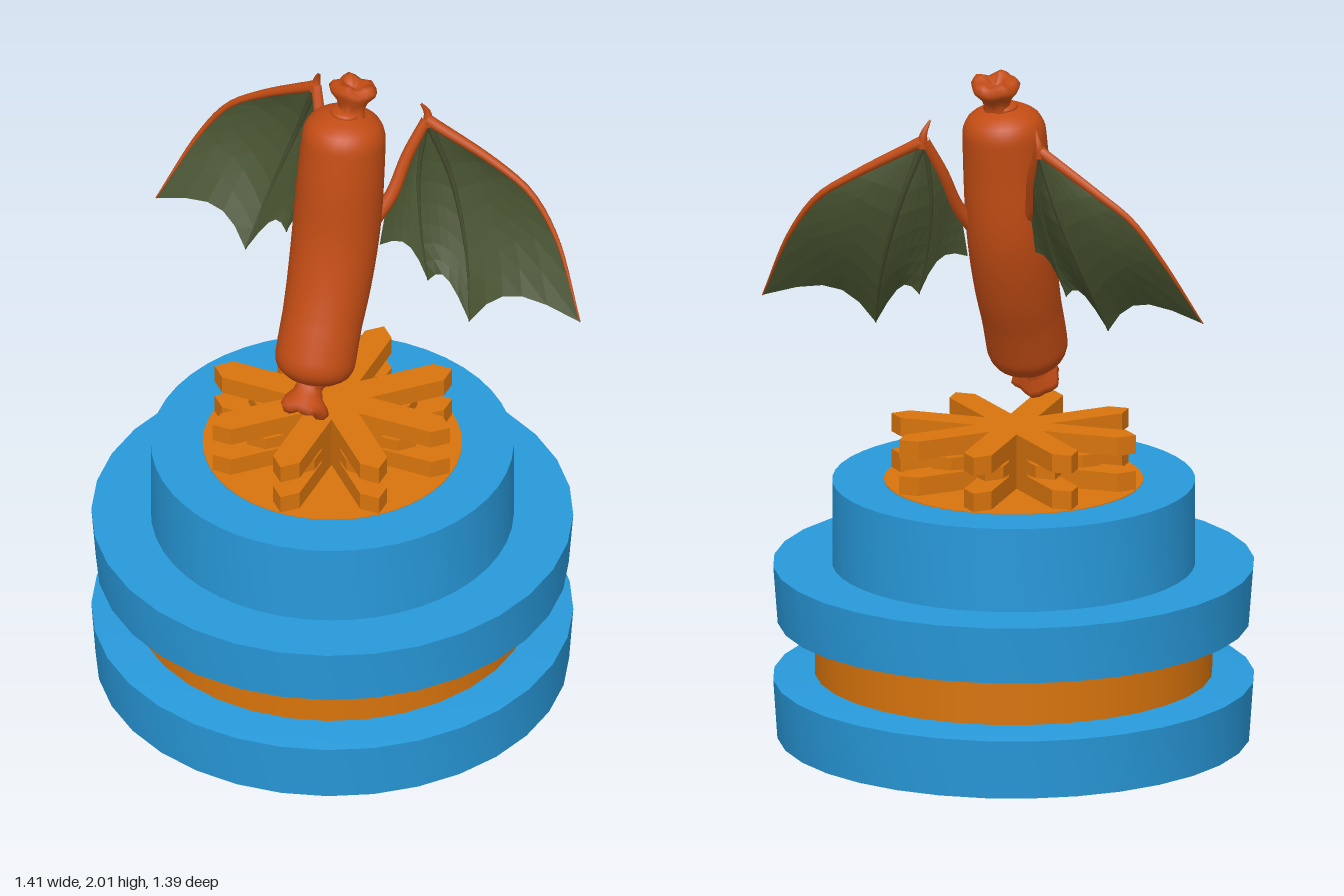
import * as THREE from 'three';
import { mergeVertices, toCreasedNormals } from 'three/addons/utils/BufferGeometryUtils.js';

const V = (x, y, z) => new THREE.Vector3(x, y, z);
const mat = (color, extra = {}) => new THREE.MeshStandardMaterial({ color, ...extra });
const blue = mat(0x2899da);
const orange = mat(0xd8740c);
const skin = mat(0xc24c14);
const membraneMat = mat(0x46512f, { side: THREE.DoubleSide, flatShading: true });
const boneMat = mat(0x424a2c);

function add(parent, name, geometry, material) {
  const mesh = new THREE.Mesh(geometry, material);
  mesh.name = name;
  parent.add(mesh);
  return mesh;
}

// Turned solid with crisp rims
function turned(points, sides = 32) {
  const lathe = new THREE.LatheGeometry(points.map(([r, y]) => new THREE.Vector2(r, y)), sides);
  return toCreasedNormals(lathe, 0.6);
}

// Eight-armed star with pointed arm ends, lying flat from y0 to y1
function star(reach, y0, y1) {
  const w = 0.042, inner = w / Math.tan(Math.PI / 8);
  const pts = [];
  for (let i = 0; i < 8; i++) {
    const a = (i * Math.PI) / 4;
    for (const [u, v] of [[inner, -w], [reach - w, -w], [reach, 0], [reach - w, w]]) {
      pts.push(new THREE.Vector2(u * Math.cos(a) - v * Math.sin(a), u * Math.sin(a) + v * Math.cos(a)));
    }
  }
  const geo = new THREE.ExtrudeGeometry(new THREE.Shape(pts), { depth: y1 - y0, bevelEnabled: false });
  return geo.rotateX(-Math.PI / 2).translate(0, y0, 0);
}

// Round sweep along a curve, its radius given by a function of 0..1
function sweep(curve, radiusAt, steps, sides) {
  const geo = new THREE.TubeGeometry(curve, steps, 1, sides);
  const pos = geo.attributes.position;
  const p = V(0, 0, 0);
  for (let i = 0; i <= steps; i++) {
    const c = curve.getPointAt(i / steps), r = radiusAt(i / steps);
    for (let j = 0; j <= sides; j++) {
      const k = i * (sides + 1) + j;
      p.fromBufferAttribute(pos, k).sub(c).multiplyScalar(r).add(c);
      pos.setXYZ(k, p.x, p.y, p.z);
    }
  }
  geo.deleteAttribute('uv');
  geo.deleteAttribute('normal');
  const welded = mergeVertices(geo, 1e-5);
  welded.computeVertexNormals();
  return welded;
}

function buildBase() {
  const base = new THREE.Group();
  base.name = 'base';
  base.position.x = -0.01;
  add(base, 'lowerDisc', turned([[0, 0], [0.685, 0], [0.697, 0.175], [0.575, 0.19], [0, 0.19]]), blue);
  add(base, 'middleBand', new THREE.CylinderGeometry(0.576, 0.576, 0.15, 32).translate(0, 0.262, 0), orange);
  add(base, 'upperDisc', turned([[0, 0.335], [0.575, 0.335], [0.684, 0.346], [0.697, 0.515], [0, 0.515]]), blue);
  add(base, 'drum', turned([[0, 0.51], [0.525, 0.51], [0.525, 0.765], [0, 0.765]], 48), blue);
  add(base, 'drumInlay', new THREE.CylinderGeometry(0.375, 0.375, 0.01, 48).translate(0, 0.762, 0), orange);
  // Stack of star grilles
  add(base, 'lowerStar', star(0.372, 0.765, 0.822), orange);
  add(base, 'starCore', star(0.21, 0.8, 0.9), orange);
  add(base, 'middleStar', star(0.265, 0.83, 0.867), orange);
  add(base, 'upperStar', star(0.372, 0.875, 0.93), orange);
  return base;
}

// Puckered end knot: a short neck flaring to a dimpled, slightly wrinkled lip
function knot() {
  const profile = [[0.045, -0.03], [0.038, 0], [0.046, 0.025], [0.066, 0.048], [0.071, 0.064],
    [0.06, 0.08], [0.04, 0.083], [0.022, 0.066], [0, 0.05]];
  const geo = new THREE.LatheGeometry(profile.map(([r, y]) => new THREE.Vector2(r, y)), 20);
  const pos = geo.attributes.position;
  for (let i = 0; i < pos.count; i++) {
    const x = pos.getX(i), z = pos.getZ(i), a = Math.atan2(z, x);
    const k = 1 + 0.06 * Math.sin(5 * a) + 0.04 * Math.cos(3 * a);
    pos.setXYZ(i, x * k, pos.getY(i) + 0.08 * (k - 1), z * k * 0.92);
  }
  geo.computeVertexNormals();
  return geo;
}

function buildBody() {
  const body = new THREE.Group();
  body.name = 'body';
  const spine = new THREE.CatmullRomCurve3([
    V(-0.016, 1.07, 0.138), V(-0.016, 1.2, 0.082), V(-0.014, 1.36, 0.012),
    V(-0.012, 1.52, -0.034), V(-0.006, 1.72, -0.055), V(-0.002, 1.91, -0.078),
  ]);
  const len = spine.getLength(), cap = 0.085;
  // Blunt rounded ends
  const radius = (t) => {
    const d = Math.min(t, 1 - t) * len;
    const r = 0.118 + 0.01 * Math.sin(Math.PI * Math.min(1, 1.3 * (1 - t)));
    if (d >= cap) return r;
    return r - cap + 0.035 * Math.min(0, d / cap - 0.4) + Math.sqrt(cap * cap - (cap - d) ** 2);
  };
  add(body, 'sausage', sweep(spine, radius, 72, 28), skin);
  const up = V(0, 1, 0);
  for (const [name, at, dir] of [
    ['topKnot', V(0.01, 1.914, -0.092), V(0, 0.97, -0.25)],
    ['bottomKnot', V(-0.018, 1.07, 0.15), V(0, -0.8, 0.6)],
  ]) {
    const k = add(body, name, knot(), skin);
    k.position.copy(at);
    k.quaternion.setFromUnitVectors(up, dir.normalize());
  }
  // End caps close the skin beneath the knots
  for (const t of [0.004, 0.996]) {
    const c = add(body, 'endCap', new THREE.SphereGeometry(0.045, 16, 10), skin);
    c.scale.y = 0.35;
    c.position.copy(spine.getPointAt(t));
    c.quaternion.setFromUnitVectors(up, spine.getTangentAt(t));
  }
  return body;
}

// Bat wing; place() maps the left wing's points to either side
function buildWing(name, place) {
  const wing = new THREE.Group();
  wing.name = name;
  const wrist = [0.185, 1.83, -0.235];
  const line = (...pts) => new THREE.CatmullRomCurve3(pts.map((p) => place(V(...p))));
  const fingers = [
    line(wrist, [0.39, 1.715, -0.262], [0.5, 1.64, -0.263], [0.59, 1.52, -0.243], [0.7, 1.3, -0.165]),
    line(wrist, [0.26, 1.62, -0.25], [0.33, 1.4, -0.195], [0.37, 1.235, -0.12]),
    line(wrist, [0.175, 1.65, -0.2], [0.2, 1.48, -0.16], [0.235, 1.335, -0.13]),
    line(wrist, [0.14, 1.71, -0.18], [0.112, 1.58, -0.12], [0.1, 1.45, -0.09]),
  ];
  const centre = place(V(...wrist));

  // Membrane: panels between neighbouring fingers, scalloped at the trailing edge
  const nu = 5, nt = 8, verts = [], index = [];
  for (let f = 0; f < 3; f++) {
    const start = verts.length / 3;
    for (let i = 0; i <= nu; i++) {
      for (let j = 0; j <= nt; j++) {
        const u = i / nu, t = j / nt;
        const p = fingers[f].getPoint(t).lerp(fingers[f + 1].getPoint(t), u);
        p.lerp(centre, 0.13 * 4 * u * (1 - u) * t * t);
        p.z -= 0.012 * Math.sin(Math.PI * u) * Math.sin(Math.PI * t);
        verts.push(p.x, p.y, p.z);
        if (i < nu && j < nt) {
          const a = start + i * (nt + 1) + j, b = a + nt + 1;
          index.push(a, a + 1, b, b, a + 1, b + 1);
        }
      }
    }
  }
  const skinGeo = new THREE.BufferGeometry();
  skinGeo.setAttribute('position', new THREE.Float32BufferAttribute(verts, 3));
  skinGeo.setIndex(index);
  skinGeo.computeVertexNormals();
  add(wing, 'membrane', skinGeo, membraneMat);

  // Bones: leading edge, two ribs, upper arm and thumb claw
  const taper = (a, b) => (t) => a + (b - a) * t;
  add(wing, 'leadingEdge', sweep(fingers[0], taper(0.017, 0.002), 20, 8), skin);
  add(wing, 'longRib', sweep(fingers[1], taper(0.012, 0.002), 16, 6), boneMat);
  add(wing, 'shortRib', sweep(fingers[2], taper(0.009, 0.002), 16, 6), boneMat);
  const arm = line(wrist, [0.145, 1.72, -0.185], [0.12, 1.61, -0.13], [0.08, 1.53, -0.08]);
  add(wing, 'upperArm', sweep(arm, taper(0.016, 0.022), 14, 8), skin);
  const claw = line([0.19, 1.81, -0.235], [0.185, 1.85, -0.24], [0.17, 1.89, -0.225]);
  add(wing, 'thumbClaw', sweep(claw, taper(0.018, 0.003), 8, 7), skin);
  return wing;
}

export function createModel() {
  const model = new THREE.Group();
  model.name = 'wingedSausageOnPedestal';
  model.add(buildBase(), buildBody());
  model.add(buildWing('leftWing', (p) => p));
  model.add(buildWing('rightWing', (p) => V(-0.92 * p.x, 0.94 * p.y + 0.115, 1.06 * p.z)));
  return model;
}
